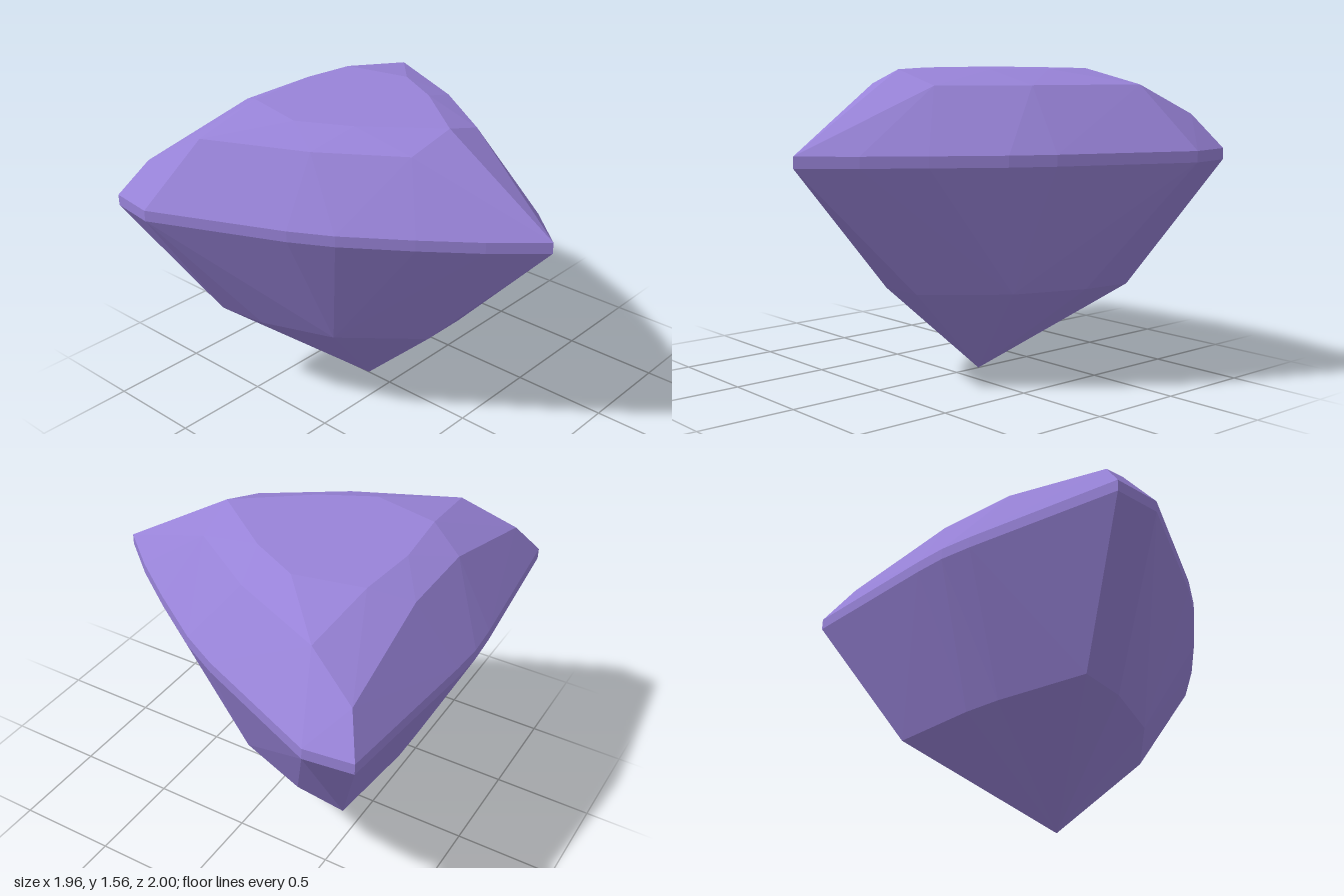
import * as THREE from 'three';
import { ConvexGeometry } from 'three/addons/geometries/ConvexGeometry.js';

const GIRDLE_TOP = 1.175;
const GIRDLE_BOTTOM = 1.12;

// Half outlines [x, z], from the pointed tip round to the flat end
const girdle = [[0.975, 0], [0.75, 0.2], [0.5, 0.39], [0.2, 0.6], [0, 0.71], [-0.655, 1], [-0.89, 0.97], [-0.97, 0.17], [-0.98, 0]];
const crownRing = [[0.345, 0.24], [-0.04, 0.5], [-0.54, 0.73], [-0.765, 0.22], [-0.765, 0]];
const table = [[0.37, 0], [0.02, 0.27], [-0.24, 0.405], [-0.58, 0.33], [-0.61, 0]];
const pavilionRing = [[0.36, 0.12], [0, 0.42], [-0.37, 0.555], [-0.635, 0.585], [-0.68, 0.1]];

// Mirrors a half outline across z and lifts it to a height
function ring(outline, y) {
  return outline.flatMap(([x, z]) => (z === 0 ? [1] : [1, -1]).map((s) => new THREE.Vector3(x, y, s * z)));
}

export function createModel() {
  const group = new THREE.Group();
  group.name = 'cutGem';
  const violet = new THREE.MeshStandardMaterial({ color: 0x9883d8, flatShading: true });
  violet.name = 'violet';

  // Facets of the whole stone
  const stone = new ConvexGeometry([
    ...ring(table, 1.56),
    ...ring(crownRing, 1.487),
    ...ring([[-0.8, 0.84]], 1.34),
    ...ring(girdle, GIRDLE_TOP),
    ...ring(girdle, GIRDLE_BOTTOM),
    ...ring(pavilionRing, 0.475),
    new THREE.Vector3(-0.15, 0, 0),
  ]);
  const position = stone.getAttribute('position');

  // Sort the facets into crown, girdle and pavilion
  const parts = { crown: [], girdle: [], pavilion: [] };
  for (let i = 0; i < position.count; i += 3) {
    const heights = [0, 1, 2].map((k) => position.getY(i + k));
    let name = 'girdle';
    if (Math.max(...heights) > GIRDLE_TOP + 0.01) name = 'crown';
    else if (Math.min(...heights) < GIRDLE_BOTTOM - 0.01) name = 'pavilion';
    for (let k = 0; k < 3; k++) {
      parts[name].push(position.getX(i + k), position.getY(i + k), position.getZ(i + k));
    }
  }
  for (const [name, values] of Object.entries(parts)) {
    const geometry = new THREE.BufferGeometry();
    geometry.setAttribute('position', new THREE.Float32BufferAttribute(values, 3));
    geometry.computeVertexNormals();
    const mesh = new THREE.Mesh(geometry, violet);
    mesh.name = name;
    group.add(mesh);
  }
  return group;
}
